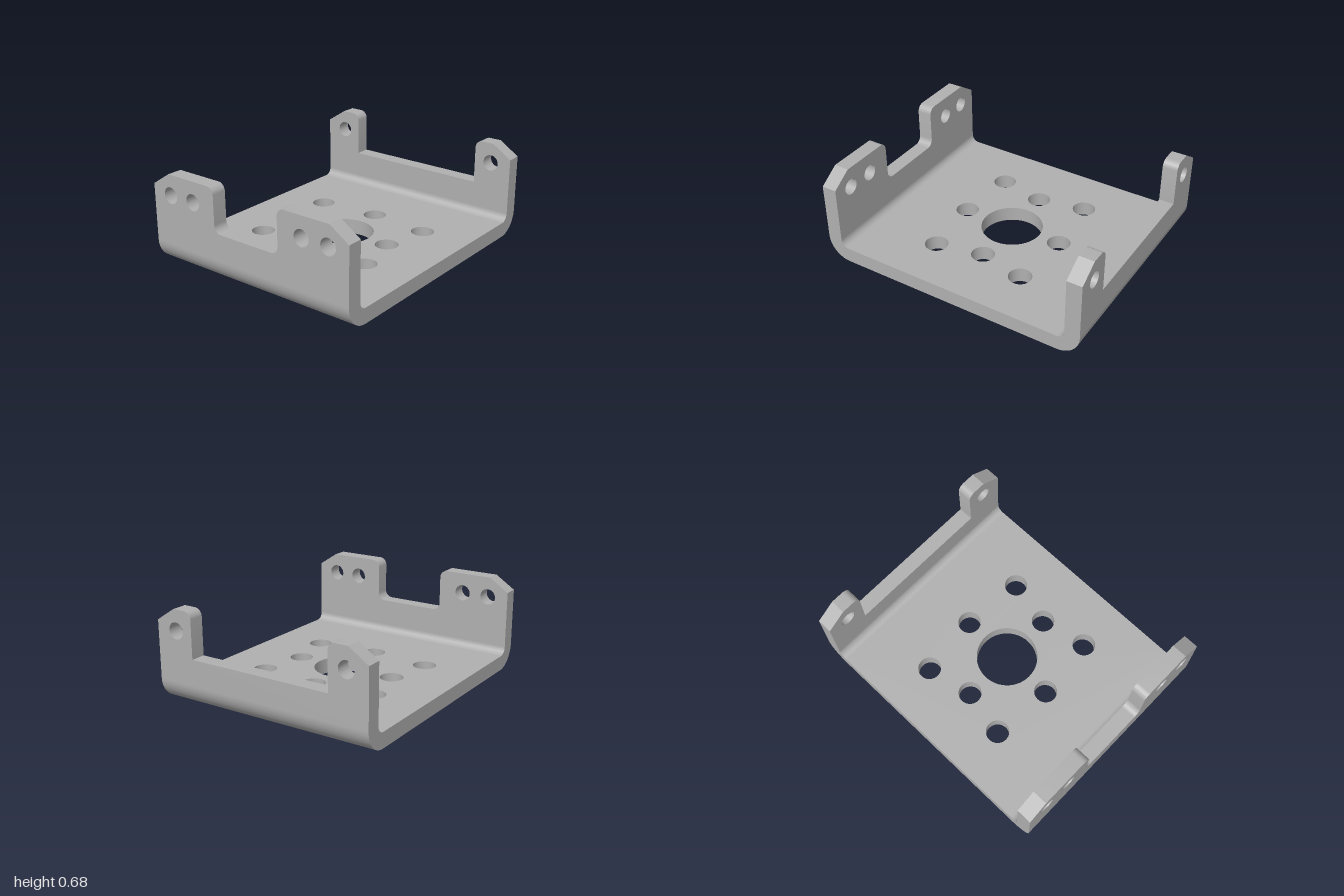
import * as THREE from 'three';
import { toCreasedNormals } from 'three/addons/utils/BufferGeometryUtils.js';

const W = 0.83;        // half width
const T = 0.11;        // sheet thickness
const R = 0.165;       // outer bend radius
const H = 0.675;       // flange height
const r = 0.055;       // small corner radius

const steel = new THREE.MeshStandardMaterial({ color: 0xb0b0b0 });
steel.name = 'plain grey metal';

function addHole(shape, x, y, radius) {
  const hole = new THREE.Path();
  hole.absarc(x, y, radius, 0, Math.PI * 2, true);
  shape.holes.push(hole);
}

function extrude(shape, depth) {
  return new THREE.ExtrudeGeometry(shape, { depth, bevelEnabled: false, curveSegments: 32 });
}

// Drops the hidden triangles that lie in the seam between two parts.
function openSeam(geometry, axis, value) {
  const pos = geometry.getAttribute('position');
  const kept = [];
  for (let i = 0; i < pos.count; i += 3) {
    const corners = [i, i + 1, i + 2];
    if (corners.every((c) => Math.abs(pos.getComponent(c, axis) - value) < 1e-4)) continue;
    for (const c of corners) kept.push(pos.getX(c), pos.getY(c), pos.getZ(c));
  }
  const out = new THREE.BufferGeometry();
  out.setAttribute('position', new THREE.Float32BufferAttribute(kept, 3));
  return out;
}

function part(name, geometry) {
  const mesh = new THREE.Mesh(toCreasedNormals(geometry, 0.4), steel);
  mesh.name = name;
  return mesh;
}

// Flat floor with a central bore and a ring of eight holes
function basePlate() {
  const d = 1 - R;
  const shape = new THREE.Shape();
  shape.moveTo(-W, -d).lineTo(W, -d).lineTo(W, d).lineTo(-W, d).closePath();
  addHole(shape, 0, 0, 0.222);
  for (const s of [-1, 1]) {
    addHole(shape, 0, s * 0.386, 0.083);
    addHole(shape, s * 0.386, 0, 0.083);
    for (const t of [-1, 1]) addHole(shape, s * 0.456, t * 0.344, 0.083);
  }
  let g = extrude(shape, T).rotateX(Math.PI / 2).translate(0, T, 0);
  for (const s of [-1, 1]) g = openSeam(g, 2, s * d);
  return part('basePlate', g);
}

// Quarter-round bend joining the floor to a flange
function bend(name, turn) {
  const c = 1 - R;
  const shape = new THREE.Shape();
  shape.moveTo(c, 0);
  shape.absarc(c, R, R, -Math.PI / 2, 0, false);
  shape.lineTo(c + R - T, R);
  shape.absarc(c, R, R - T, 0, -Math.PI / 2, true);
  shape.closePath();
  let g = extrude(shape, 2 * W).rotateY(-Math.PI / 2).translate(W, 0, 0);
  g = openSeam(openSeam(g, 1, R), 2, c);
  return part(name, g.rotateY(turn));
}

// Upright flange with chamfered outer corners and a central notch
function flange(name, z, notch, floorY, fillet, holeXs) {
  const s = new THREE.Shape();
  s.moveTo(-W, R).lineTo(W, R).lineTo(W, 0.58).lineTo(0.685, H).lineTo(notch + r, H);
  s.absarc(notch + r, H - r, r, Math.PI / 2, Math.PI, false);
  if (fillet) {
    s.lineTo(notch, floorY + r);
    s.absarc(notch - r, floorY + r, r, 0, -Math.PI / 2, true);
    s.lineTo(-notch + r, floorY);
    s.absarc(-notch + r, floorY + r, r, -Math.PI / 2, -Math.PI, true);
  } else {
    s.lineTo(notch, floorY).lineTo(-notch, floorY);
  }
  s.lineTo(-notch, H - r);
  s.absarc(-notch - r, H - r, r, 0, Math.PI / 2, false);
  s.lineTo(-0.685, H).lineTo(-W, 0.58).closePath();
  for (const x of holeXs) for (const side of [-1, 1]) addHole(s, side * x, 0.526, 0.059);
  return part(name, openSeam(extrude(s, T).translate(0, 0, z), 1, R));
}

export function createModel() {
  const group = new THREE.Group();
  group.name = 'mountingBracket';
  group.add(
    basePlate(),
    bend('frontBend', 0),
    bend('backBend', Math.PI),
    flange('frontFlange', 1 - T, 0.273, 0.36, true, [0.465, 0.672]),
    flange('backFlange', -1, 0.54, 0.35, false, [0.672]),
  );
  return group;
}
